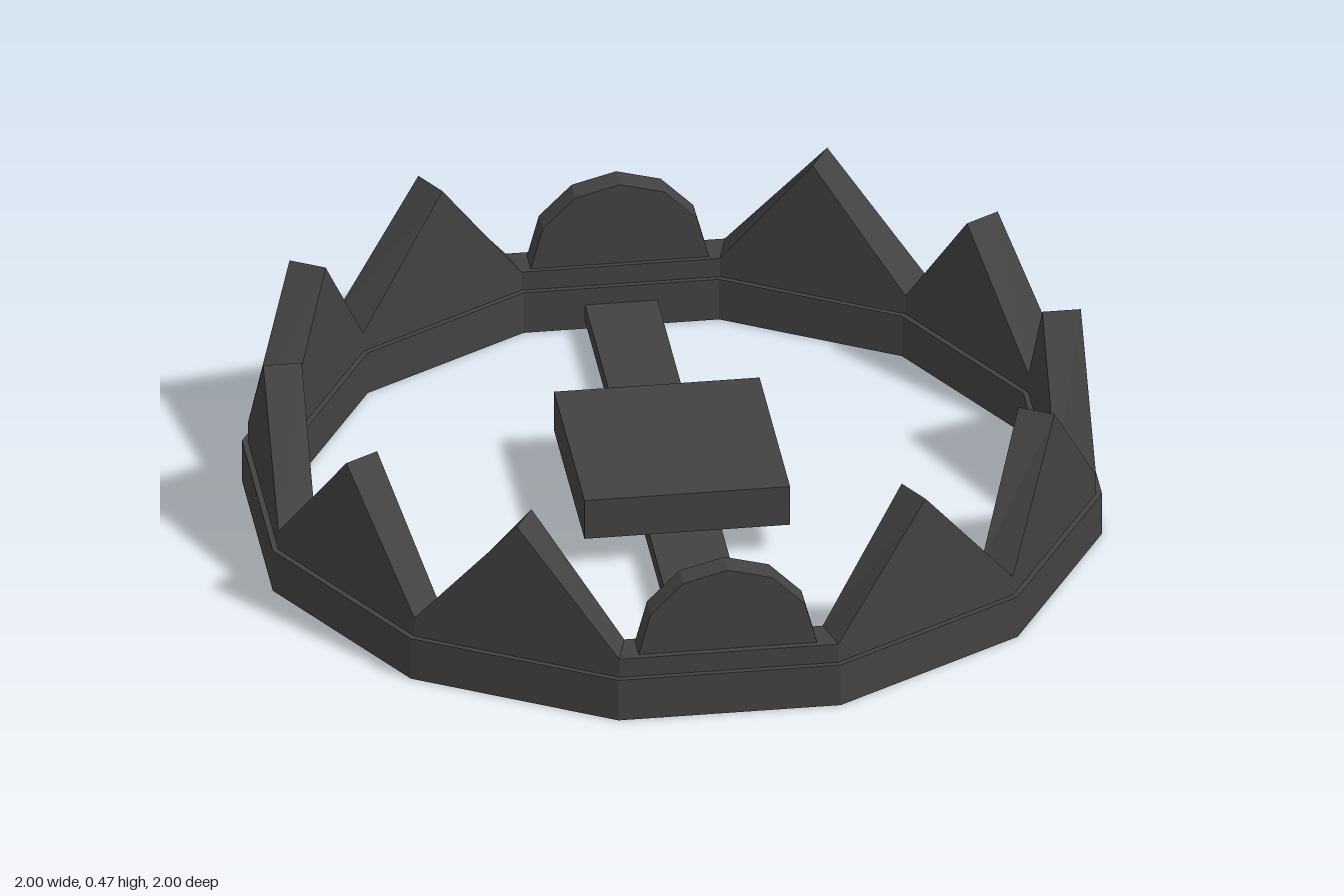
import * as THREE from 'three';

const SIDES = 12;
const HALF = Math.PI / SIDES;
const iron = new THREE.MeshStandardMaterial({ color: 0x424242, flatShading: true });

// Regular polygon with flats on the axes, sized by the distance to a flat
function polygon(apothem, Type = THREE.Shape) {
  const r = apothem / Math.cos(HALF);
  const pts = [];
  for (let i = 0; i < SIDES; i++) {
    const a = HALF + i * 2 * HALF;
    pts.push(new THREE.Vector2(Math.cos(a) * r, Math.sin(a) * r));
  }
  return new Type(pts);
}

// Upright slab from an x/y profile between two z values; mitred slabs narrow inwards
function slab(points, inner, outer, mitred) {
  const shape = new THREE.Shape(points.map(([x, y]) => new THREE.Vector2(x, y)));
  const geo = new THREE.ExtrudeGeometry(shape, { depth: outer - inner, bevelEnabled: false });
  geo.translate(0, 0, inner);
  if (mitred) {
    const p = geo.attributes.position;
    for (let i = 0; i < p.count; i++) p.setX(i, p.getX(i) * p.getZ(i) / outer);
  }
  geo.computeVertexNormals();
  return geo;
}

export function createModel() {
  const group = new THREE.Group();
  const add = (name, geo, turn = 0) => {
    const mesh = new THREE.Mesh(geo, iron);
    mesh.name = name;
    mesh.rotation.y = turn;
    group.add(mesh);
    return mesh;
  };

  // Twelve-sided base ring
  const ringShape = polygon(1);
  ringShape.holes.push(polygon(0.88, THREE.Path));
  const ring = new THREE.ExtrudeGeometry(ringShape, { depth: 0.11, bevelEnabled: false });
  ring.rotateX(-Math.PI / 2);
  add('baseRing', ring);

  // Jaws: pointed teeth on ten sides, a low strip with a rounded hinge at front and back
  const IN = 0.893, OUT = 0.986;
  const w = OUT * Math.tan(HALF);
  const tooth = slab([[-w, 0.11], [w, 0.11], [w, 0.16], [0, 0.467], [-w, 0.16]], IN, OUT, true);
  const strip = slab([[-w, 0.11], [w, 0.11], [w, 0.16], [-w, 0.16]], IN, OUT, true);
  const arc = [];
  for (let i = 0; i <= 6; i++) {
    const a = i * Math.PI / 6;
    arc.push([Math.cos(a) * 0.215, 0.16 + Math.sin(a) * 0.215]);
  }
  const hinge = slab(arc, 0.905, 0.97, false);
  for (let i = 0; i < SIDES; i++) {
    const turn = i * 2 * HALF;
    if (i % 6 === 0) {
      add('jawStrip', strip, turn);
      add('hinge', hinge, turn);
    } else {
      add('tooth', tooth, turn);
    }
  }

  // Cross bar and trigger plate
  add('crossBar', new THREE.BoxGeometry(0.175, 0.045, 1.78)).position.y = 0.0425;
  add('triggerPlate', new THREE.BoxGeometry(0.496, 0.105, 0.53)).position.y = 0.1345;

  return group;
}
